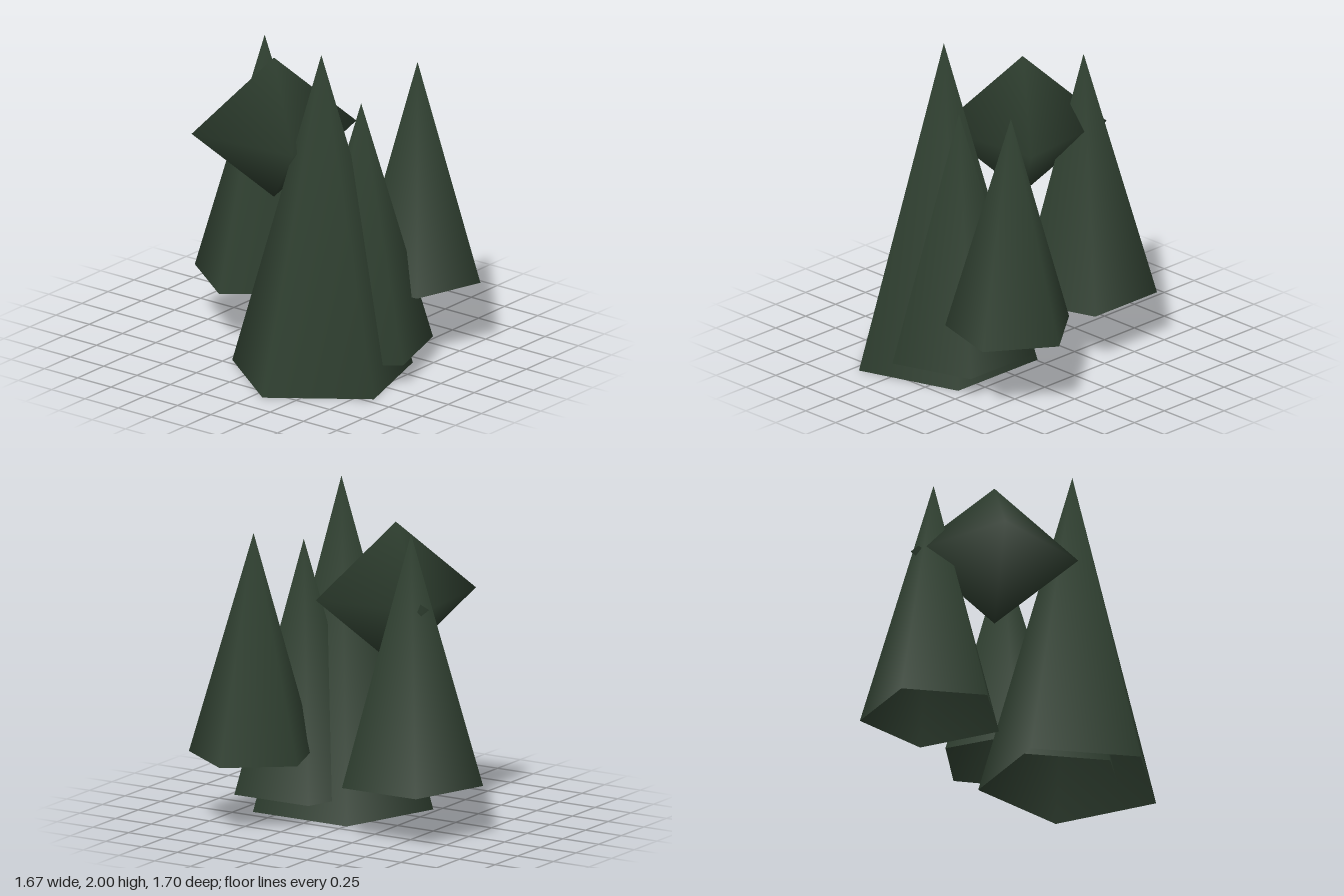
import * as THREE from 'three';
import { mergeVertices } from 'three/addons/utils/BufferGeometryUtils.js';

// The cones are hollow, so both faces show
const darkGreen = new THREE.MeshStandardMaterial({
  name: 'darkGreen', color: 0x2e3e2f, side: THREE.DoubleSide,
});

// Weld all corners, so that the shading runs smoothly over tip and seam
function weld(geometry) {
  geometry.deleteAttribute('normal');
  geometry.deleteAttribute('uv');
  const welded = mergeVertices(geometry);
  welded.computeVertexNormals();
  return welded;
}

// Open five-sided cone; degrees turns one base corner from +x towards +z
function cone(name, x, z, base, top, radius, degrees) {
  const height = top - base;
  const geometry = weld(new THREE.ConeGeometry(radius, height, 5, 1, true));
  const mesh = new THREE.Mesh(geometry, darkGreen);
  mesh.name = name;
  mesh.position.set(x, base + height / 2, z);
  mesh.rotation.y = Math.PI / 2 - THREE.MathUtils.degToRad(degrees);
  return mesh;
}

export function createModel() {
  const group = new THREE.Group();
  group.name = 'foliageCluster';

  // Four tall pointed cones
  group.add(
    cone('tallCone', -0.276, 0.318, 0, 2, 0.562, 180.3),
    cone('backCone', 0.141, -0.434, 0.323, 1.83, 0.44, 180),
    cone('frontCone', -0.037, 0.43, 0.13, 1.65, 0.442, 180),
    cone('leftCone', 0.444, 0.477, 0.43, 1.78, 0.392, -1.7),
  );

  // Eight-sided clump between the tips
  const clump = new THREE.Mesh(weld(new THREE.SphereGeometry(0.5, 4, 2)), darkGreen);
  clump.name = 'diamondClump';
  clump.scale.y = 0.88;
  clump.position.set(-0.106, 1.38, -0.171);
  clump.rotation.y = THREE.MathUtils.degToRad(-39);
  group.add(clump);

  return group;
}
